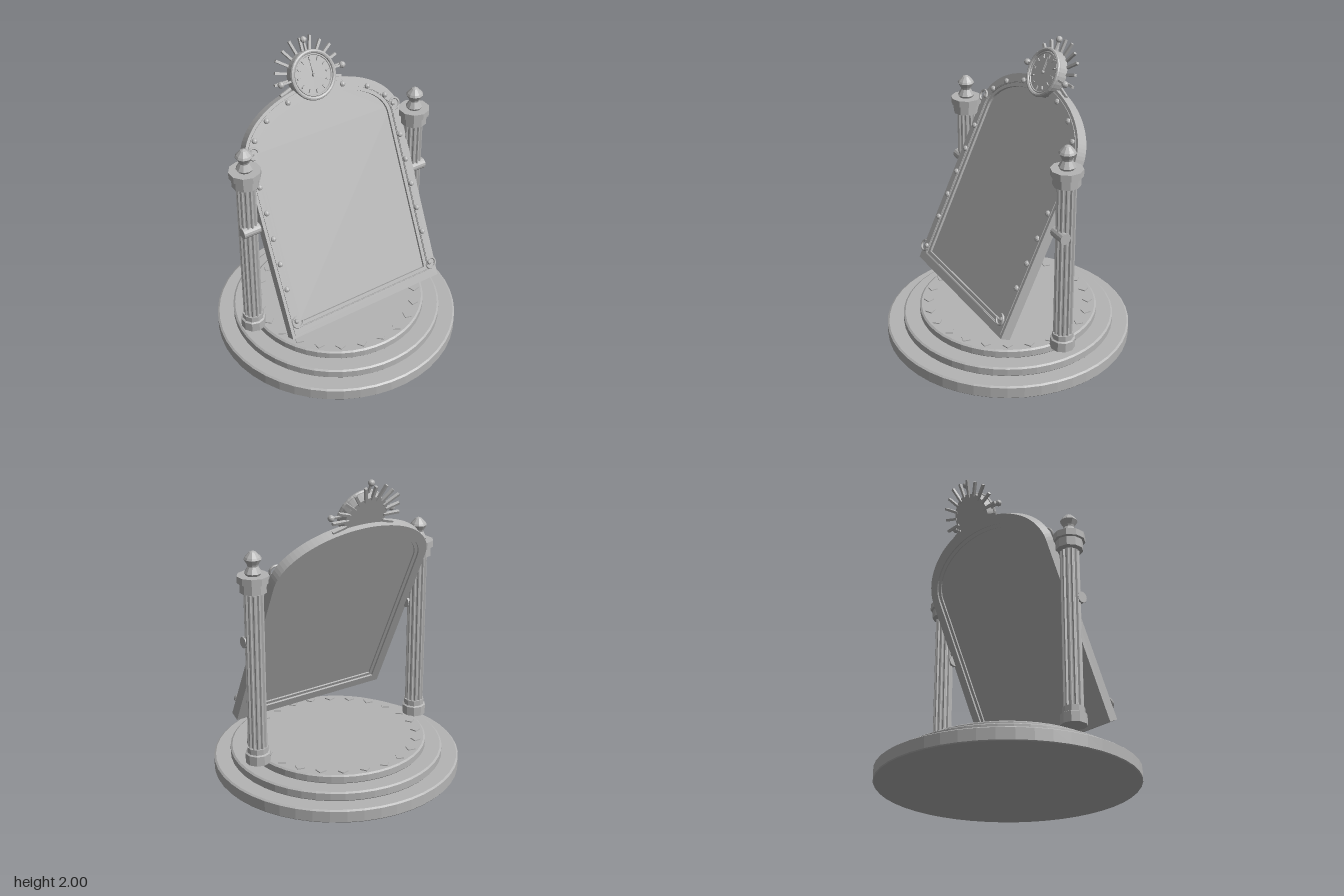
import * as THREE from 'three';

export function createModel() {
  const model = new THREE.Group();
  model.name = 'tiltingMirror';
  const grey = new THREE.MeshStandardMaterial({ color: 0xb4b4b4, flatShading: true });
  grey.name = 'plain grey';

  const add = (parent, name, geometry, x = 0, y = 0, z = 0) => {
    const mesh = new THREE.Mesh(geometry, grey);
    mesh.name = name;
    mesh.position.set(x, y, z);
    parent.add(mesh);
    return mesh;
  };
  const lathe = (points, sides) =>
    new THREE.LatheGeometry(points.map(([r, y]) => new THREE.Vector2(r, y)), sides);

  // Round stepped base, each step with a small bevel
  [[0.81, 0, 0.085], [0.7, 0.085, 0.145], [0.59, 0.145, 0.2]].forEach(([r, y0, y1], i) =>
    add(model, `baseStep${i + 1}`, lathe(
      [[0, y0], [r - 0.005, y0], [r, y0 + 0.006], [r, y1 - 0.008], [r - 0.012, y1], [0, y1]], 48)));

  // Diamond studs around the top step
  for (let i = 0; i < 24; i++) {
    const a = (i * Math.PI) / 12;
    const stud = add(model, 'baseDiamond', new THREE.BoxGeometry(0.048, 0.014, 0.048),
      Math.sin(a) * 0.53, 0.2, Math.cos(a) * 0.53);
    stud.rotation.y = a + Math.PI / 4;
  }

  // Fluted columns with base, capital, finial and pivot
  const flutes = new THREE.Shape();
  for (let i = 0; i < 48; i++) {
    const a = (i * Math.PI) / 24;
    const r = i % 4 < 2 ? 0.061 : 0.051;
    flutes[i ? 'lineTo' : 'moveTo'](Math.cos(a) * r, Math.sin(a) * r);
  }
  flutes.closePath();
  const shaft = new THREE.ExtrudeGeometry(flutes, { depth: 1.02, bevelEnabled: false });
  shaft.rotateX(-Math.PI / 2);
  for (const side of [-1, 1]) {
    const column = new THREE.Group();
    column.name = side > 0 ? 'leftColumn' : 'rightColumn';
    column.position.set(side * 0.625, 0, -0.037);
    model.add(column);
    add(column, 'columnShaft', shaft, 0, 0.304, 0);
    add(column, 'columnFoot', lathe(
      [[0, 0.198], [0.08, 0.198], [0.08, 0.262], [0.068, 0.268], [0.068, 0.305], [0, 0.305]], 10));
    add(column, 'capital', lathe(
      [[0, 1.315], [0.045, 1.315], [0.045, 1.335], [0.085, 1.335], [0.085, 1.393],
        [0.1, 1.397], [0.1, 1.44], [0, 1.44]], 10));
    add(column, 'finial', lathe(
      [[0, 1.44], [0.045, 1.44], [0.054, 1.455], [0.032, 1.495], [0.036, 1.508],
        [0.055, 1.54], [0.048, 1.553], [0.02, 1.583], [0, 1.592]], 10));
    const pivot = add(column, 'pivot', new THREE.CylinderGeometry(0.036, 0.036, 0.13, 14),
      -side * 0.002, 1.007, 0.037);
    pivot.rotation.z = Math.PI / 2;
  }

  // Everything below leans back about the pivots
  const mirror = new THREE.Group();
  mirror.name = 'mirror';
  mirror.position.set(0, 1.01, 0);
  mirror.rotation.x = -25 * Math.PI / 180;
  model.add(mirror);

  const SPRING = 0.41;
  const arch = (inset, type = THREE.Shape) => {
    const w = 0.57 - inset, b = -0.754 + inset, p = new type();
    p.moveTo(-w, b);
    p.lineTo(w, b);
    p.lineTo(w, SPRING);
    p.absellipse(0, SPRING, w, 0.345 - inset, 0, Math.PI, false, 0);
    p.lineTo(-w, b);
    return p;
  };
  const archRing = (name, outer, inner, z0, z1) => {
    const shape = arch(outer);
    shape.holes.push(arch(inner, THREE.Path));
    add(mirror, name, new THREE.ExtrudeGeometry(shape,
      { depth: z1 - z0, bevelEnabled: false, curveSegments: 24 }), 0, 0, z0);
  };
  archRing('outerFrame', 0, 0.062, -0.004, 0.063);
  archRing('frameLip', 0.02, 0.058, 0.062, 0.068);
  archRing('innerMoulding', 0.06, 0.085, 0.008, 0.056);
  add(mirror, 'glass', new THREE.ExtrudeGeometry(arch(0.08),
    { depth: 0.022, bevelEnabled: false, curveSegments: 24 }), 0, 0, 0.018);

  // Rivets up the sides and over the arch
  const rivet = new THREE.SphereGeometry(0.019, 10, 6);
  rivet.scale(1, 1, 0.9);
  const rivets = [];
  for (let i = 0; i < 5; i++) rivets.push([0.525, -0.425 + i * 0.169]);
  for (const x of [0.2, 0.37, 0.48])
    rivets.push([x, SPRING + 0.3 * Math.sqrt(1 - (x / 0.525) ** 2)]);
  for (const side of [-1, 1]) {
    for (const [x, y] of rivets) add(mirror, 'rivet', rivet, side * x, y, 0.068);
    // Corner scrolls
    for (const y of [-0.645, 0.464]) {
      const scroll = add(mirror, 'cornerScroll',
        new THREE.TorusGeometry(0.035, 0.008, 6, 18, Math.PI * 1.5), side * 0.52, y, 0.092);
      scroll.rotation.z = y > 0 ? (side > 0 ? -Math.PI / 2 : 0) : (side > 0 ? Math.PI : Math.PI / 2);
      add(mirror, 'scrollBoss', new THREE.SphereGeometry(0.016, 8, 6), side * 0.52, y, 0.076);
    }
  }

  // Clock crest
  const clock = new THREE.Group();
  clock.name = 'clock';
  clock.position.set(0, 0.805, 0);
  mirror.add(clock);
  const body = add(clock, 'clockBody', new THREE.CylinderGeometry(0.15, 0.15, 0.065, 36), 0, 0, 0.065);
  body.rotation.x = Math.PI / 2;
  add(clock, 'bezel', new THREE.TorusGeometry(0.145, 0.013, 8, 36), 0, 0, 0.1);
  add(clock, 'innerBezel', new THREE.TorusGeometry(0.127, 0.006, 6, 36), 0, 0, 0.1);

  // Hour marks and hands
  const spoke = (name, angle, radius, width, length, depth, z) => {
    const bar = add(clock, name, new THREE.BoxGeometry(width, length, depth),
      Math.sin(angle) * radius, Math.cos(angle) * radius, z);
    bar.rotation.z = -angle;
  };
  for (let i = 0; i < 12; i++)
    spoke('hourMark', (i * Math.PI) / 6, 0.102, i % 3 ? 0.008 : 0.012, 0.024, 0.01, 0.102);
  spoke('minuteHand', -0.06, 0.045, 0.007, 0.095, 0.005, 0.109);
  spoke('hourHand', 0.02, 0.032, 0.011, 0.065, 0.005, 0.104);
  const pin = add(clock, 'handPin', new THREE.CylinderGeometry(0.01, 0.01, 0.018, 10), 0, 0, 0.106);
  pin.rotation.x = Math.PI / 2;

  // Sunburst rays behind the clock, and balls at the top and sides
  for (let i = 0; i < 20; i++)
    spoke('ray', (i * Math.PI) / 10, 0.185, 0.016, i % 2 ? 0.115 : 0.095, 0.018, 0.031);
  for (const a of [-Math.PI / 2, 0, Math.PI / 2]) {
    add(clock, 'crestBall', new THREE.SphereGeometry(0.021, 10, 8),
      Math.sin(a) * 0.222, Math.cos(a) * 0.222, 0.08);
    spoke('ballStem', a, 0.18, 0.012, 0.07, 0.012, 0.08);
  }
  return model;
}
